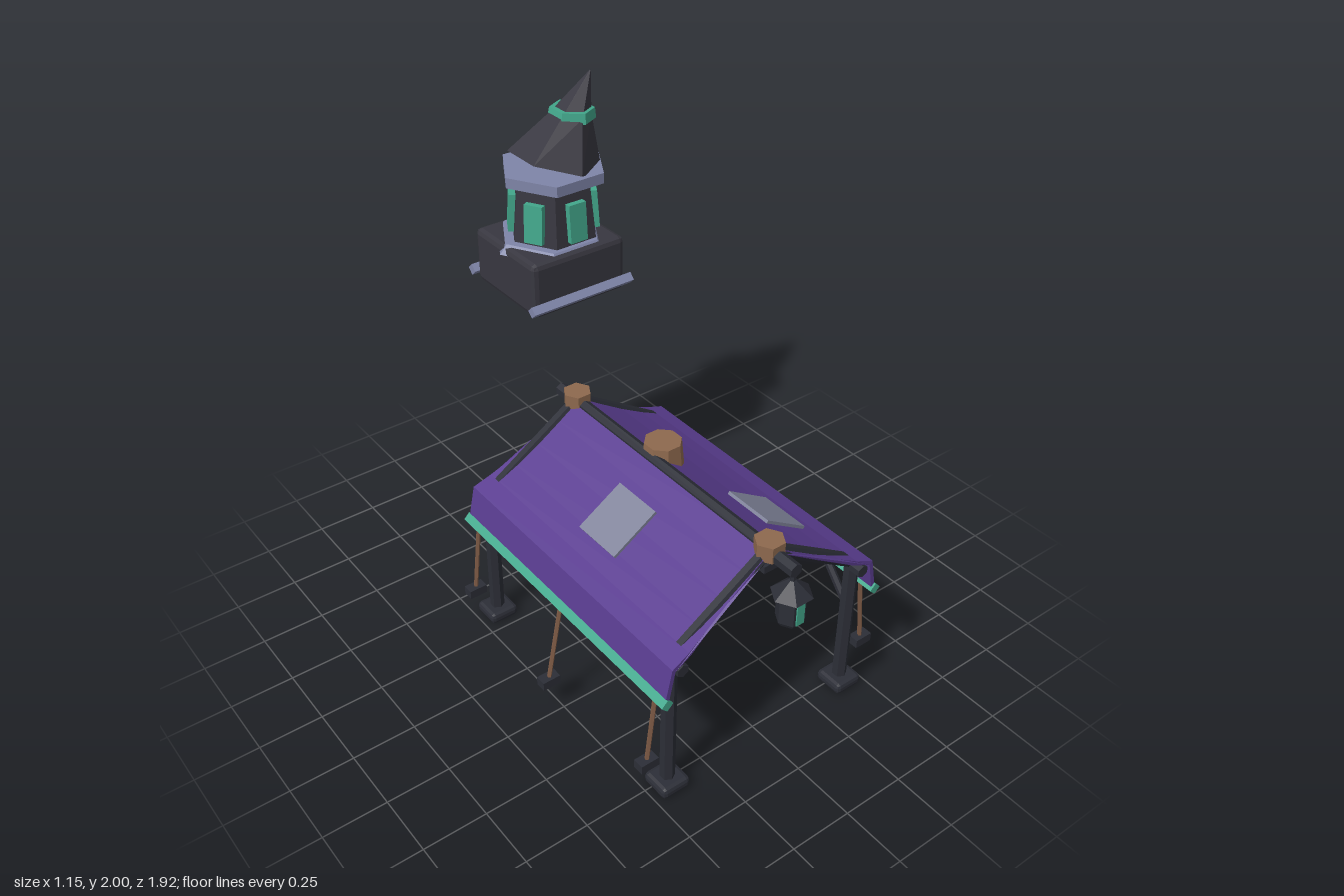
import * as THREE from 'three';
import { RoundedBoxGeometry } from 'three/addons/geometries/RoundedBoxGeometry.js';

const mat = (name, color) => {
  const m = new THREE.MeshStandardMaterial({ color, flatShading: true });
  m.name = name;
  return m;
};

export function createModel() {
  const purple = mat('purple canvas', 0x5a3d90);
  const wood = mat('dark timber', 0x2c2e37);
  const slate = mat('dark slate', 0x383740);
  const stone = mat('blue grey stone', 0x7f85a8);
  const teal = mat('teal', 0x43a88c);
  const brown = mat('brown wood', 0x8e694e);
  const rope = mat('rope', 0x7d5a45);
  const patchGrey = mat('grey patch', 0x80839a);

  const model = new THREE.Group();
  model.name = 'marketTent';
  const tent = new THREE.Group();
  tent.name = 'tent';
  const tower = new THREE.Group();
  tower.name = 'floatingTower';
  model.add(tent, tower);

  const add = (parent, name, geo, material, x = 0, y = 0, z = 0) => {
    const mesh = new THREE.Mesh(geo, material);
    mesh.name = name;
    mesh.position.set(x, y, z);
    parent.add(mesh);
    return mesh;
  };
  const chamferBox = (w, h, d, b) => new RoundedBoxGeometry(w, h, d, 1, b);
  // Prism with a corner pointing along x
  const hex = (rTop, rBottom, h) => new THREE.CylinderGeometry(rTop, rBottom, h, 6).rotateY(Math.PI / 2);
  // Straight bar between two points
  const bar = (parent, name, a, b, r, material, sides = 6) => {
    const p = new THREE.Vector3(...a), q = new THREE.Vector3(...b);
    const dir = q.clone().sub(p);
    const mesh = add(parent, name, new THREE.CylinderGeometry(r, r, dir.length(), sides), material);
    mesh.position.copy(p).add(q).multiplyScalar(0.5);
    mesh.quaternion.setFromUnitVectors(new THREE.Vector3(0, 1, 0), dir.normalize());
    return mesh;
  };

  const endZ = [0.77, -0.34];

  // Canvas: folded cross-section, ends curving inward towards the ridge
  const outer = [[0, 0.888], [0.1, 0.822], [0.2, 0.758], [0.3, 0.7], [0.38, 0.658], [0.455, 0.628], [0.485, 0.485]];
  const inner = [[0.468, 0.485], [0.442, 0.615], [0.37, 0.642], [0.3, 0.682], [0.2, 0.74], [0.1, 0.804], [0, 0.87]];
  const flip = ([x, y]) => [-x, y];
  const outline = [
    ...outer, ...inner,
    ...inner.slice(0, -1).reverse().map(flip),
    ...outer.slice(1).reverse().map(flip),
  ];
  const canvas = new THREE.ExtrudeGeometry(
    new THREE.Shape(outline.map(([x, y]) => new THREE.Vector2(x, y))),
    { depth: 1, bevelEnabled: false });
  const cp = canvas.attributes.position;
  for (let i = 0; i < cp.count; i++) {
    const half = 0.57 + 0.042 * Math.min(1, (cp.getX(i) / 0.42) ** 2);
    cp.setZ(i, 0.22 + (cp.getZ(i) > 0.5 ? half : -half));
  }
  canvas.computeVertexNormals();
  add(tent, 'canvasRoof', canvas, purple);

  // Ridge beam with hexagonal caps
  bar(tent, 'ridgeBeam', [0, 0.867, -0.45], [0, 0.867, 0.905], 0.027, wood);
  for (const z of endZ) add(tent, 'ridgeCap', hex(0.056, 0.056, 0.065), brown, 0, 0.883, z);

  // Stubby chimney
  add(tent, 'chimney', new THREE.CylinderGeometry(0.072, 0.084, 0.125, 8).rotateY(Math.PI / 8),
    brown, 0.062, 0.8525, 0.115);

  for (const s of [1, -1]) {
    // Eave trim and eave beam
    bar(tent, 'eaveTrim', [s * 0.479, 0.487, -0.4], [s * 0.479, 0.487, 0.84], 0.024, teal, 4);
    bar(tent, 'eaveBeam', [s * 0.41, 0.6, -0.393], [s * 0.41, 0.6, 0.833], 0.025, wood);

    // Grey cloth patch
    const patch = add(tent, 'roofPatch', new THREE.BoxGeometry(0.216, 0.012, 0.21), patchGrey,
      s * 0.23, 0.758, s > 0 ? 0.505 : 0.23);
    patch.rotation.z = -s * 0.56;

    for (const z of endZ) {
      const inward = z > 0.2 ? -1 : 1;
      bar(tent, 'rafter', [0, 0.873, z], [s * 0.425, 0.603, z], 0.026, wood);
      bar(tent, 'post', [s * 0.417, 0.03, z], [s * 0.417, 0.615, z], 0.028, wood);
      bar(tent, 'brace', [s * 0.417, 0.39, z], [s * 0.412, 0.585, z + inward * 0.16], 0.015, wood);
      add(tent, 'postFoot', chamferBox(0.12, 0.046, 0.12, 0.016), wood, s * 0.417, 0.026, z);
    }

    // Guy ropes with hanging weights
    for (const [z, x, y] of [[0.77, 0.51, 0.175], [0.215, 0.54, 0.14], [-0.34, 0.51, 0.175]]) {
      bar(tent, 'guyRope', [s * 0.475, 0.48, z], [s * x, y, z], 0.009, rope, 5);
      add(tent, 'ropeWeight', new THREE.BoxGeometry(0.074, 0.036, 0.044), wood, s * x, y, z);
    }
  }

  // Hanging lantern
  const lantern = new THREE.Group();
  lantern.name = 'lantern';
  lantern.position.set(0, 0, 0.892);
  tent.add(lantern);
  add(lantern, 'lanternHook', hex(0.01, 0.01, 0.07), wood, 0, 0.84, 0);
  add(lantern, 'lanternRoof', hex(0.012, 0.076, 0.058), wood, 0, 0.793, 0);
  add(lantern, 'lanternBody', hex(0.053, 0.053, 0.11), wood, 0, 0.712, 0);
  add(lantern, 'lanternBase', hex(0.053, 0.042, 0.018), wood, 0, 0.649, 0);
  for (const s of [1, -1]) {
    add(lantern, 'lanternGlass', new THREE.BoxGeometry(0.034, 0.095, 0.008), teal, 0, 0.706, s * 0.047);
  }

  // Tower base with stone bars and flared collar
  tower.position.z = -0.72;
  add(tower, 'towerBase', chamferBox(0.424, 0.228, 0.412, 0.022), slate, 0.148, 1.28, 0);
  for (const s of [1, -1]) {
    bar(tower, 'baseBar', [-0.085, 1.211, s * 0.214], [0.38, 1.211, s * 0.214], 0.024, stone, 4);
  }
  add(tower, 'lowerCollar', hex(0.2, 0.232, 0.035), stone, 0.152, 1.384, 0);

  // Six-sided tower room with a window on each face
  add(tower, 'towerRoom', hex(0.157, 0.182, 0.25), slate, 0.168, 1.515, 0);
  for (let i = 0; i < 6; i++) {
    const a = i * Math.PI / 3;
    const win = add(tower, 'towerWindow', new THREE.BoxGeometry(0.076, 0.155, 0.03), teal,
      0.168 + Math.sin(a) * 0.158, 1.495, Math.cos(a) * 0.158);
    win.rotation.set(-0.06, a, 0, 'YXZ');
  }
  add(tower, 'upperCollar', hex(0.212, 0.212, 0.042), stone, 0.174, 1.652, 0);

  // Crooked roof: tilted hexagonal sections leaning to one side
  const sections = [
    { x: 0.185, y: 1.682, r: 0.178, tilt: -0.33 },
    { x: 0.262, y: 1.855, r: 0.078, tilt: -0.1 },
    { x: 0.355, y: 2.0, r: 0.002, tilt: 0 },
  ];
  const spire = new THREE.CylinderGeometry(1, 1, 1, 6, 2);
  const sp = spire.attributes.position;
  for (let i = 0; i < sp.count; i++) {
    const c = sections[Math.round((sp.getY(i) + 0.5) * 2)];
    const dx = sp.getX(i) * c.r;
    sp.setXYZ(i, c.x + dx, c.y + dx * c.tilt, sp.getZ(i) * c.r);
  }
  spire.computeVertexNormals();
  add(tower, 'crookedRoof', spire, slate);
  const band = add(tower, 'roofBand', new THREE.CylinderGeometry(0.086, 0.092, 0.04, 6), teal, 0.268, 1.856, 0);
  band.rotation.z = -0.07;

  return model;
}
